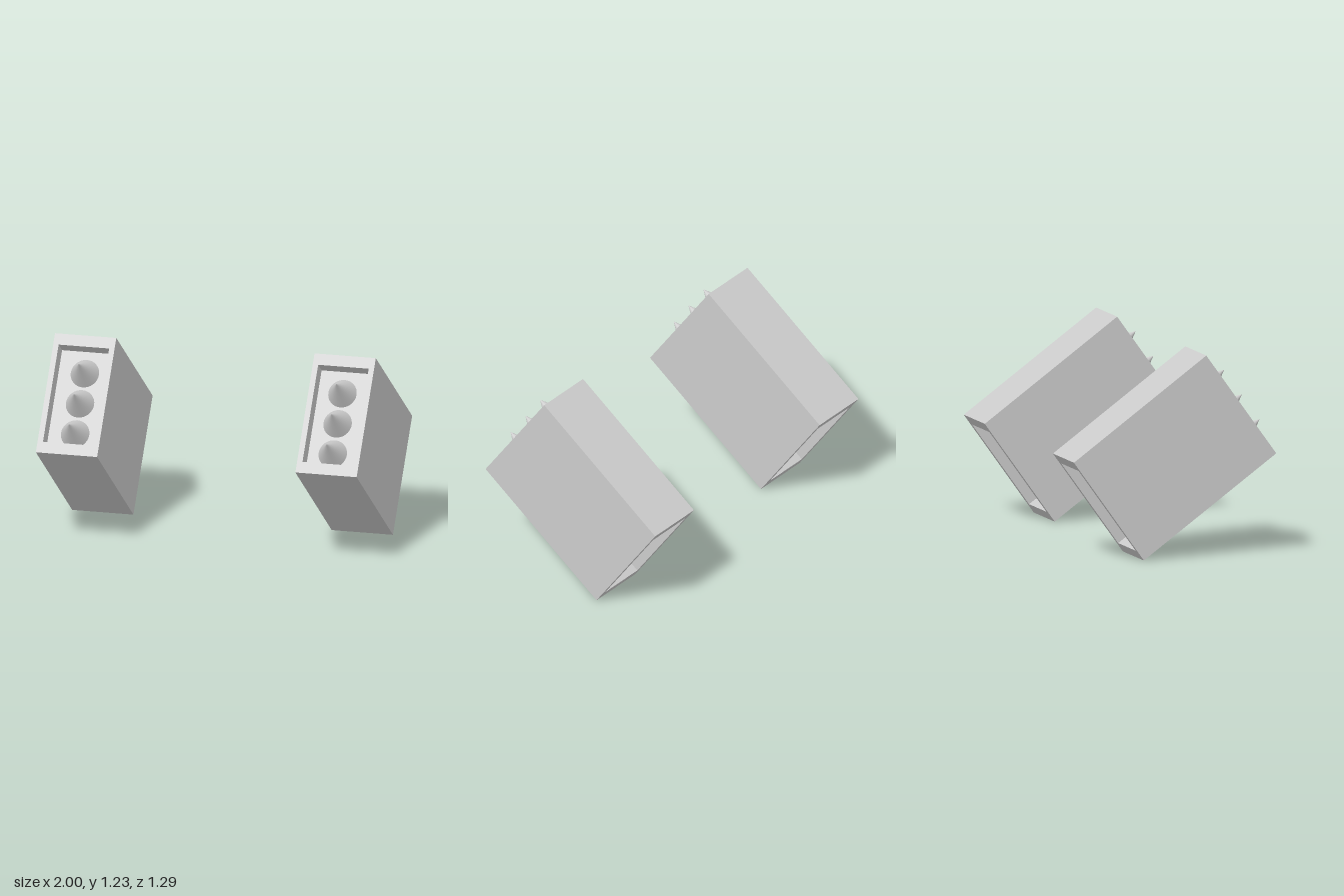
import * as THREE from 'three';

const WIDTH = 0.382, HEIGHT = 0.763, LENGTH = 1.042;
const OPEN_W = 0.315, OPEN_H = 0.622;
const FRONT_DEPTH = 0.1, BACK_DEPTH = 0.185;
const TILT = 0.625;

const material = new THREE.MeshStandardMaterial({ color: 0xcccccc });

function addMesh(parent, name, geometry) {
  const mesh = new THREE.Mesh(geometry, material);
  mesh.name = name;
  parent.add(mesh);
  return mesh;
}

// Traces a centred rectangle on a Shape or Path
function traceRect(path, w, h) {
  path.moveTo(-w / 2, -h / 2);
  path.lineTo(w / 2, -h / 2);
  path.lineTo(w / 2, h / 2);
  path.lineTo(-w / 2, h / 2);
  path.closePath();
  return path;
}

function createPod(side) {
  const pod = new THREE.Group();
  pod.name = side > 0 ? 'leftPod' : 'rightPod';

  // Rectangular casing, open at front and back
  const outline = traceRect(new THREE.Shape(), WIDTH, HEIGHT);
  outline.holes.push(traceRect(new THREE.Path(), OPEN_W, OPEN_H));
  const casing = new THREE.ExtrudeGeometry(outline, { depth: LENGTH, bevelEnabled: false });
  addMesh(pod, 'casing', casing.translate(0, 0, -LENGTH / 2));

  // Solid core that closes both recesses
  const core = new THREE.BoxGeometry(OPEN_W, OPEN_H, LENGTH - FRONT_DEPTH - BACK_DEPTH);
  addMesh(pod, 'core', core).position.z = (BACK_DEPTH - FRONT_DEPTH) / 2;

  // Column of three pointed warheads standing on the front recess floor
  const coneHeight = 0.176;
  for (let i = 0; i < 3; i++) {
    const cone = new THREE.ConeGeometry(0.088, coneHeight, 32).rotateX(Math.PI / 2);
    addMesh(pod, 'warhead' + (i + 1), cone).position.set(
      -side * 0.006,
      0.173 - i * 0.193,
      LENGTH / 2 - FRONT_DEPTH + coneHeight / 2
    );
  }

  // Tilted so the front points up
  pod.rotation.x = -TILT;
  pod.position.set(
    side * (1 - WIDTH / 2),
    (LENGTH * Math.sin(TILT) + HEIGHT * Math.cos(TILT)) / 2,
    0
  );
  return pod;
}

export function createModel() {
  const model = new THREE.Group();
  model.name = 'launcherPods';
  for (const side of [-1, 1]) model.add(createPod(side));
  return model;
}
